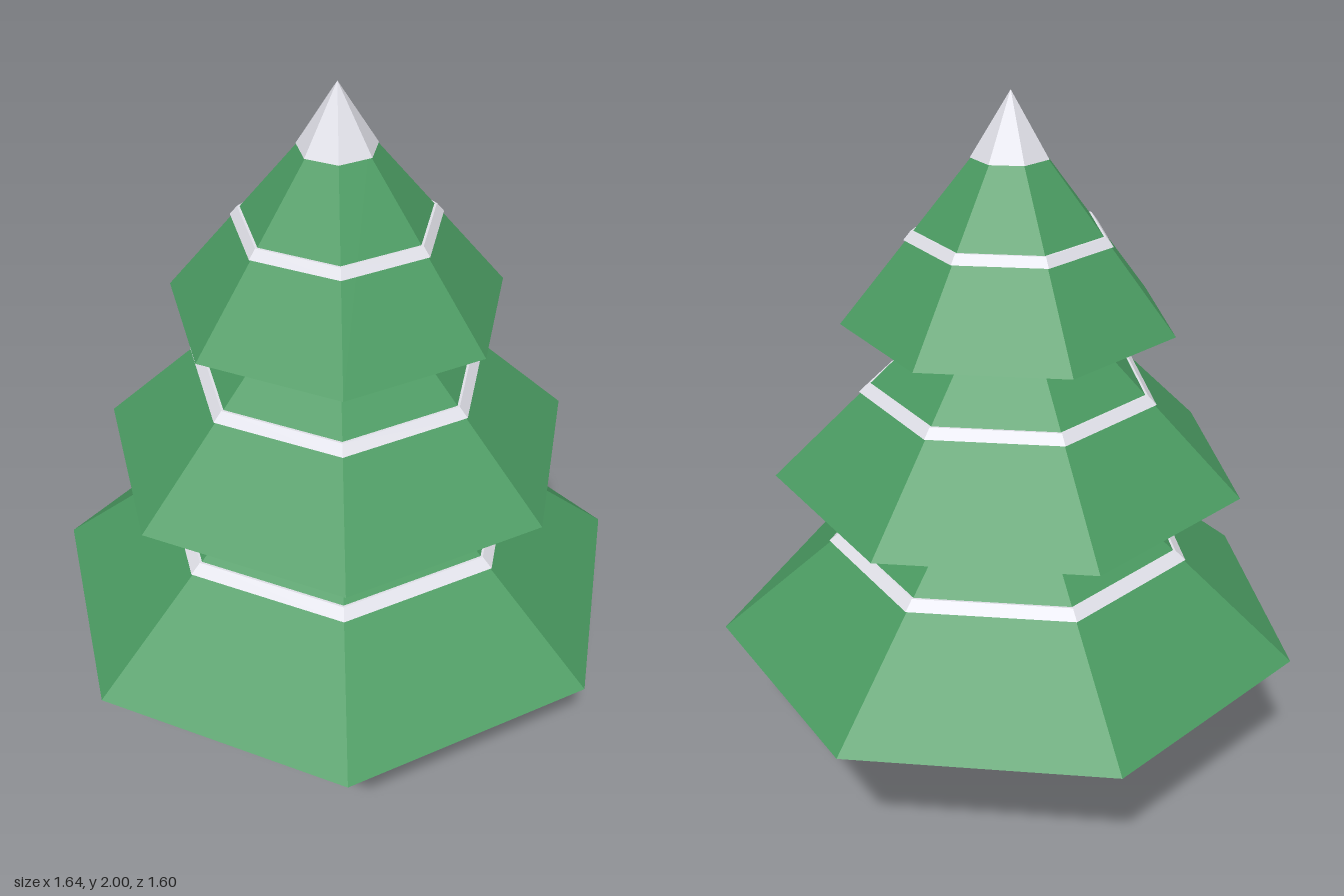
import * as THREE from 'three';

const SIDES = 7;
const AXIS_Z = 0.042; // offset that centres the seven-sided footprint

export function createModel() {
  const tree = new THREE.Group();
  tree.name = 'snowyPineTree';

  const material = (name, color) => {
    const m = new THREE.MeshStandardMaterial({ color });
    m.name = name;
    return m;
  };
  const green = material('needleGreen', 0x4a9a61);
  const snow = material('snowWhite', 0xe2e2ea);
  const bark = material('barkBrown', 0xa88665);

  // Adds a mesh with faceted normals
  const add = (name, geometry, mat, y = 0) => {
    const flat = geometry.toNonIndexed();
    flat.computeVertexNormals();
    const mesh = new THREE.Mesh(flat, mat);
    mesh.name = name;
    mesh.position.set(0, y, AXIS_Z);
    tree.add(mesh);
  };

  // Tapered seven-sided solid with a corner pointing backwards
  const taper = (name, mat, r0, r1, y0, y1) =>
    add(name, new THREE.CylinderGeometry(r1, r0, y1 - y0, SIDES, 1, false, Math.PI), mat, (y0 + y1) / 2);

  // Trunk
  add('trunk', new THREE.CylinderGeometry(0.097, 0.097, 0.46, 6), bark, 0.23);

  // Foliage tiers, each with a thin snow band following its slope
  const tiers = [
    { name: 'lower', y: 0.45, r: 0.842, slope: 1.2, top: 1.15, band: 0.721 },
    { name: 'middle', y: 0.94, r: 0.663, slope: 1.03, top: 1.58, band: 1.184 },
    { name: 'upper', y: 1.385, r: 0.461, slope: 0.807, top: 1.84, band: 1.613 },
  ];
  for (const t of tiers) {
    const radius = (y) => t.r - t.slope * (y - t.y);
    taper(t.name + 'Foliage', green, t.r, radius(t.top), t.y, t.top);

    const b0 = t.band, b1 = t.band + 0.025;
    const profile = [
      [radius(b0) - 0.004, b0],
      [radius(b0) + 0.007, b0],
      [radius(b1) + 0.007, b1],
      [radius(b1) - 0.004, b1],
    ].map(([x, y]) => new THREE.Vector2(x, y));
    add(t.name + 'SnowBand', new THREE.LatheGeometry(profile, SIDES, Math.PI), snow);
  }

  // Snow cap on the tip
  taper('snowCap', snow, 0.106, 0, 1.828, 2);

  return tree;
}
